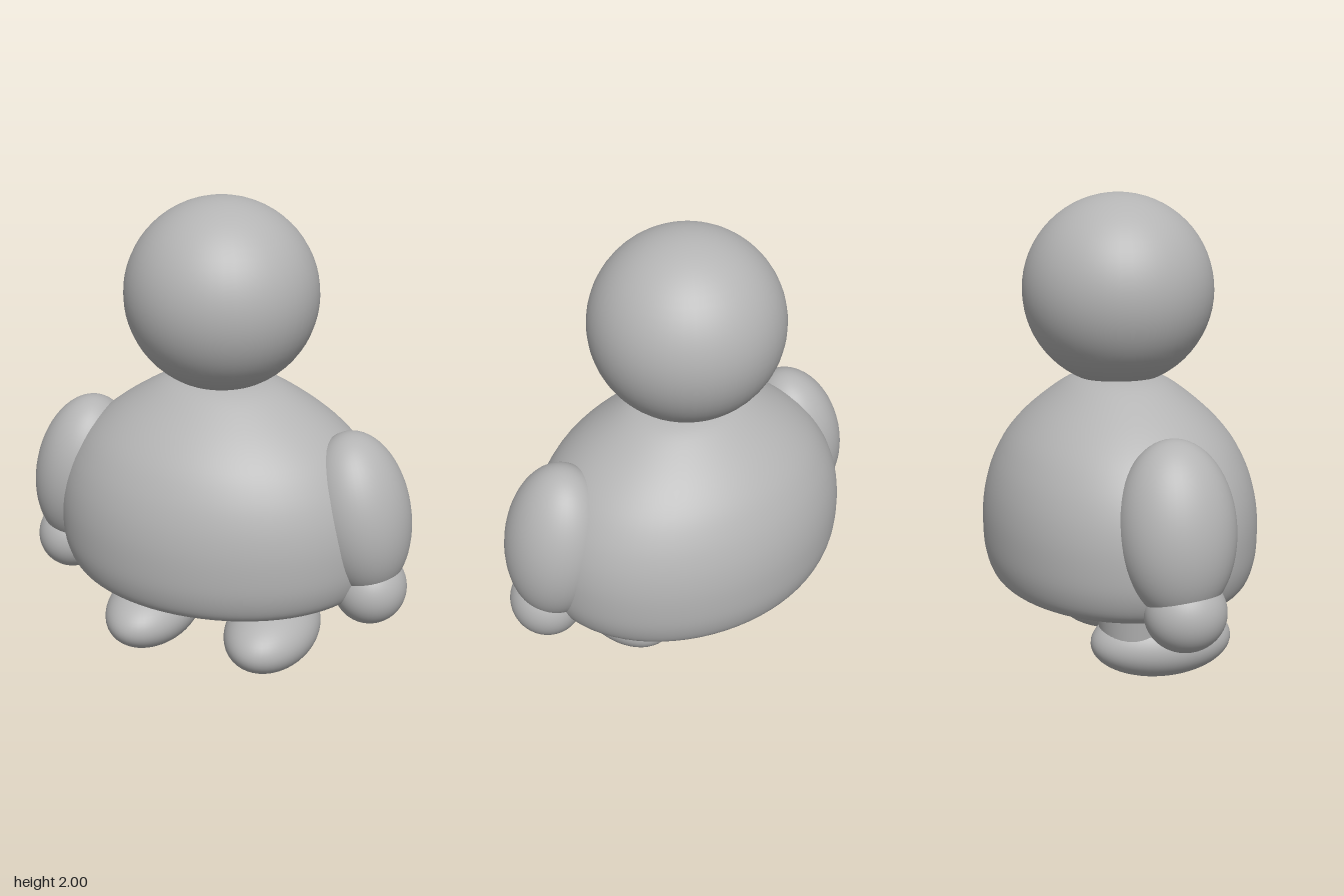
import * as THREE from 'three';

const grey = new THREE.MeshStandardMaterial({ color: 0xb4b4b4 });
grey.name = 'plain grey';

function add(parent, name, geometry, position = [0, 0, 0]) {
  const mesh = new THREE.Mesh(geometry, grey);
  mesh.name = name;
  mesh.position.set(...position);
  parent.add(mesh);
  return mesh;
}

// smooth ellipsoid given by its centre and three radii
function ellipsoid(parent, name, center, radii) {
  const geometry = new THREE.SphereGeometry(1, 48, 32).scale(...radii);
  return add(parent, name, geometry, center);
}

export function createModel() {
  const model = new THREE.Group();
  model.name = 'figure';

  // round head
  ellipsoid(model, 'head', [0, 1.6, 0], [0.404, 0.4, 0.4]);

  // dome-shaped body with a flat underside, wider than deep
  const side = new THREE.SplineCurve([
    [0.42, 0.343], [0.475, 0.352], [0.52, 0.375], [0.55, 0.42], [0.571, 0.5],
    [0.577, 0.6], [0.572, 0.7], [0.553, 0.8], [0.517, 0.9], [0.459, 1.0],
    [0.368, 1.1], [0.244, 1.2], [0.17, 1.237], [0.1, 1.25],
  ].map(([r, y]) => new THREE.Vector2(r, y)));
  const profile = [
    new THREE.Vector2(0, 0.34), new THREE.Vector2(0.36, 0.34),
    ...side.getPoints(52), new THREE.Vector2(0, 1.252),
  ];
  add(model, 'body', new THREE.LatheGeometry(profile, 72).scale(1.25, 1, 1));

  for (const s of [1, -1]) {
    const label = s > 0 ? 'left' : 'right';

    // arm leaning outwards, with a ball hand
    const arm = ellipsoid(model, label + 'Arm', [s * 0.634, 0.74, 0.052], [0.212, 0.354, 0.238]);
    arm.rotation.z = s * 0.195;
    ellipsoid(model, label + 'Hand', [s * 0.698, 0.42, 0.07], [0.154, 0.155, 0.165]);

    // short tapered leg and a long rounded foot
    const leg = new THREE.CylinderGeometry(0.18, 0.155, 0.22, 48);
    add(model, label + 'Leg', leg, [s * 0.282, 0.29, 0]);
    ellipsoid(model, label + 'Foot', [s * 0.282, 0.15, 0.107], [0.197, 0.15, 0.304]);
  }
  return model;
}
